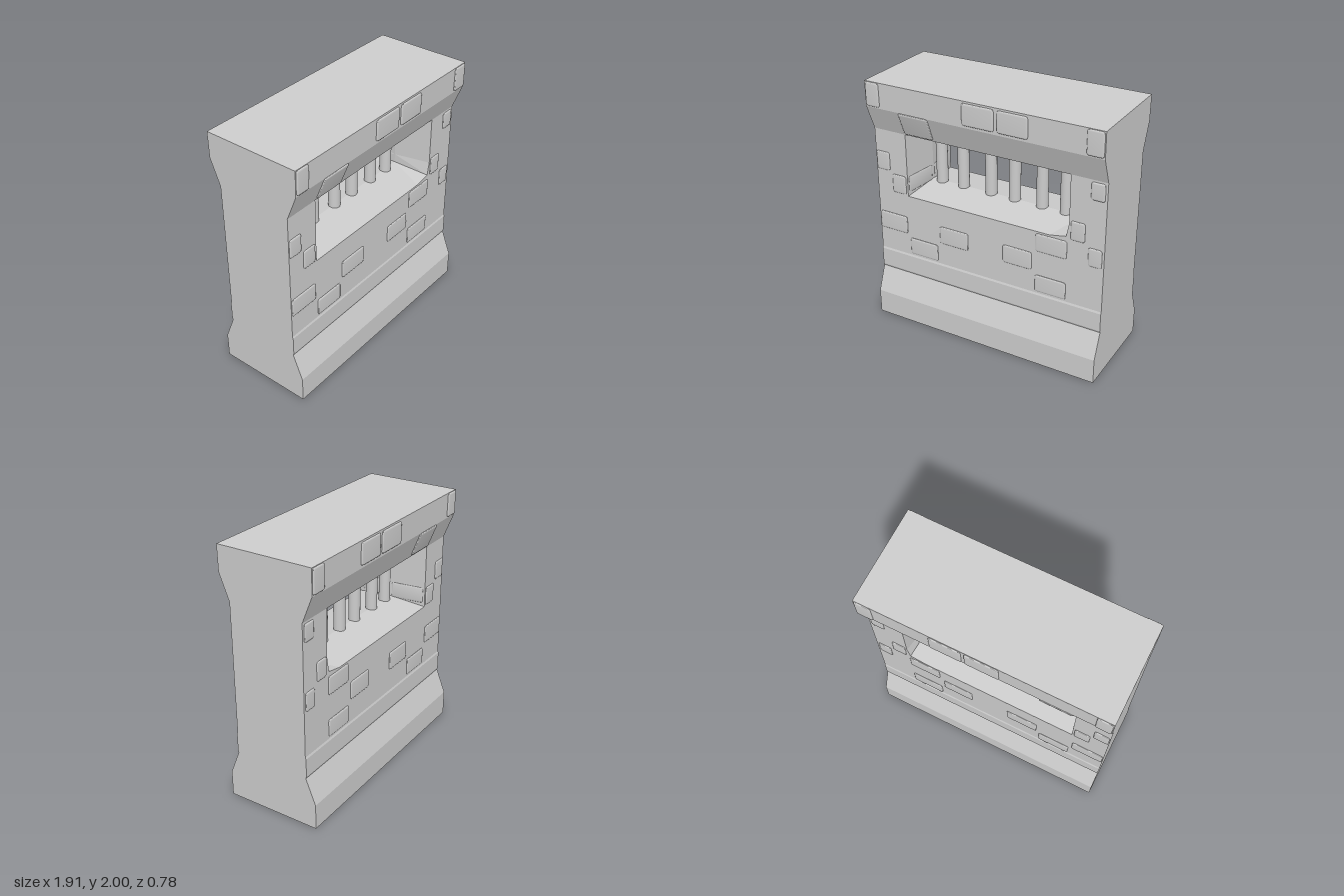
import * as THREE from 'three';
import { mergeGeometries, toCreasedNormals } from 'three/addons/utils/BufferGeometryUtils.js';

const W = 0.957; // half width of the wall

// Flat-shaded geometry from a list of four-cornered faces
function quads(list) {
  const pos = [];
  for (const [a, b, c, d] of list) pos.push(...a, ...b, ...c, ...a, ...c, ...d);
  const g = new THREE.BufferGeometry();
  g.setAttribute('position', new THREE.Float32BufferAttribute(pos, 3));
  g.computeVertexNormals();
  return g;
}

// Copy reflected to the back of the wall, with the winding put right
function mirrorZ(geometry) {
  const g = geometry.index ? geometry.toNonIndexed() : geometry.clone();
  for (const name of ['position', 'normal']) {
    const a = g.attributes[name];
    const v = new THREE.Vector3(), w = new THREE.Vector3();
    const flip = new THREE.Vector3(1, 1, -1);
    for (let i = 0; i < a.count; i += 3) {
      v.fromBufferAttribute(a, i).multiply(flip);
      a.setXYZ(i, v.x, v.y, v.z);
      v.fromBufferAttribute(a, i + 1).multiply(flip);
      w.fromBufferAttribute(a, i + 2).multiply(flip);
      a.setXYZ(i + 1, w.x, w.y, w.z);
      a.setXYZ(i + 2, v.x, v.y, v.z);
    }
  }
  return g;
}

const shapeOf = pts => new THREE.Shape(pts.map(p => new THREE.Vector2(p[0], p[1])));

// Pillowed stone with rounded corners, standing just proud of z = 0
function stoneGeometry(w, h, proud = 0.01) {
  const x = w / 2, y = h / 2, r = 0.018;
  const s = new THREE.Shape();
  s.moveTo(-x + r, -y);
  s.lineTo(x - r, -y).quadraticCurveTo(x, -y, x, -y + r);
  s.lineTo(x, y - r).quadraticCurveTo(x, y, x - r, y);
  s.lineTo(-x + r, y).quadraticCurveTo(-x, y, -x, y - r);
  s.lineTo(-x, -y + r).quadraticCurveTo(-x, -y, -x + r, -y);
  const g = new THREE.ExtrudeGeometry(s, {
    depth: 0.01, curveSegments: 3, bevelEnabled: true, bevelThickness: 0.007,
    bevelSize: 0.014, bevelOffset: -0.014, bevelSegments: 3,
  });
  g.translate(0, 0, proud - 0.017);
  return toCreasedNormals(g, 0.7);
}

export function createModel() {
  const model = new THREE.Group();
  const stone = new THREE.MeshStandardMaterial({ color: 0xcccccc });
  stone.name = 'grey stone';

  const add = (name, geometry) => {
    const mesh = new THREE.Mesh(geometry, stone);
    mesh.name = name;
    model.add(mesh);
  };
  const addBoth = (name, geometry) => {
    add(name + 'Front', geometry);
    add(name + 'Back', mirrorZ(geometry));
  };

  // Half profile [z, y]: plinth, raised band, wall, overhanging top
  const profile = [[0.38, 0], [0.38, 0.2], [0.3, 0.4], [0.306, 0.415], [0.306, 0.56],
    [0.3, 0.575], [0.3, 1.6], [0.38, 1.8], [0.383, 2]];
  const strip = (from, to) => {
    const faces = [];
    for (let i = from; i < to; i++) {
      const [z0, y0] = profile[i], [z1, y1] = profile[i + 1];
      faces.push([[-W, y0, z0], [W, y0, z0], [W, y1, z1], [-W, y1, z1]]);
    }
    return quads(faces);
  };
  addBoth('plinth', strip(0, 2));
  addBoth('band', strip(2, 5));
  addBoth('overhang', strip(6, 8));

  // Wall face around the opening, with a worn lower corner
  const outer = [[-0.68, 1.09], [0.53, 1.09], [0.66, 1.115], [0.68, 1.22], [0.68, 1.6], [-0.68, 1.6]];
  const inner = [[-0.645, 1.13], [0.56, 1.13], [0.64, 1.13], [0.64, 1.2], [0.64, 1.56], [-0.645, 1.56]];
  const face = new THREE.ShapeGeometry(shapeOf([[-W, 0.575], [W, 0.575], [W, 1.6],
    ...outer.slice(0, 5).reverse(), outer[5], [-W, 1.6]]));
  face.translate(0, 0, 0.3);
  addBoth('wallFace', face);

  // Opening lining, narrowing towards the middle of the wall
  addBoth('windowLining', quads(outer.map((a, i) => {
    const j = (i + 1) % outer.length;
    return [[...a, 0.3], [...outer[j], 0.3], [...inner[j], 0], [...inner[i], 0]];
  })));

  // End walls, top and underside
  const outline = [...profile, ...profile.map(([z, y]) => [-z, y]).reverse()];
  for (const side of [1, -1]) {
    const end = new THREE.ShapeGeometry(shapeOf(outline));
    end.rotateY(side * Math.PI / 2);
    end.translate(side * W, 0, 0);
    add(side > 0 ? 'leftEnd' : 'rightEnd', end);
  }
  add('top', quads([[[-W, 2, 0.383], [W, 2, 0.383], [W, 2, -0.383], [-W, 2, -0.383]]]));
  add('underside', quads([[[-W, 0, -0.38], [W, 0, -0.38], [W, 0, 0.38], [-W, 0, 0.38]]]));

  // Window bars
  for (const x of [-0.56, -0.365, -0.12, 0.085, 0.315, 0.51]) {
    const bar = new THREE.CylinderGeometry(0.045, 0.045, 0.45, 20, 1, true);
    bar.translate(x, 1.345, 0);
    add('windowBar', bar);
  }

  // Proud stones: [x0, x1, y0, y1]
  const wallStones = [
    [-0.95, -0.835, 1.27, 1.42], [-0.815, -0.695, 1.1, 1.25], [0.695, 0.805, 1.1, 1.25],
    [0.835, 0.94, 1.45, 1.585], [0.835, 0.94, 0.93, 1.075], [0.42, 0.67, 0.93, 1.075],
    [-0.95, -0.7, 0.76, 0.905], [-0.4, -0.15, 0.76, 0.905], [0.15, 0.39, 0.76, 0.905],
    [-0.675, -0.425, 0.59, 0.73], [0.42, 0.67, 0.59, 0.73],
  ];
  const topStones = [[-0.95, -0.835, 1.81, 1.995], [-0.13, 0.125, 1.82, 1.985],
    [0.15, 0.39, 1.82, 1.985], [0.825, 0.95, 1.81, 1.995]];
  const place = (list, z) => list.map(([x0, x1, y0, y1]) =>
    stoneGeometry(x1 - x0, y1 - y0).translate((x0 + x1) / 2, (y0 + y1) / 2, z));
  addBoth('wallStones', mergeGeometries(place(wallStones, 0.298)));
  addBoth('topStones', mergeGeometries(place(topStones, 0.382)));

  // Stone lying on the slope under the overhang
  const sloped = stoneGeometry(0.25, 0.2);
  sloped.rotateX(Math.atan2(0.08, 0.2));
  sloped.translate(-0.55, 1.705, 0.342);
  addBoth('slopeStone', sloped);

  // Stone set into the window jamb
  const jamb = stoneGeometry(0.27, 0.13, 0.004);
  jamb.rotateY(Math.atan2(0.3, 0.035));
  jamb.translate(-0.6625, 1.185, 0.15);
  addBoth('jambStone', jamb);

  return model;
}
